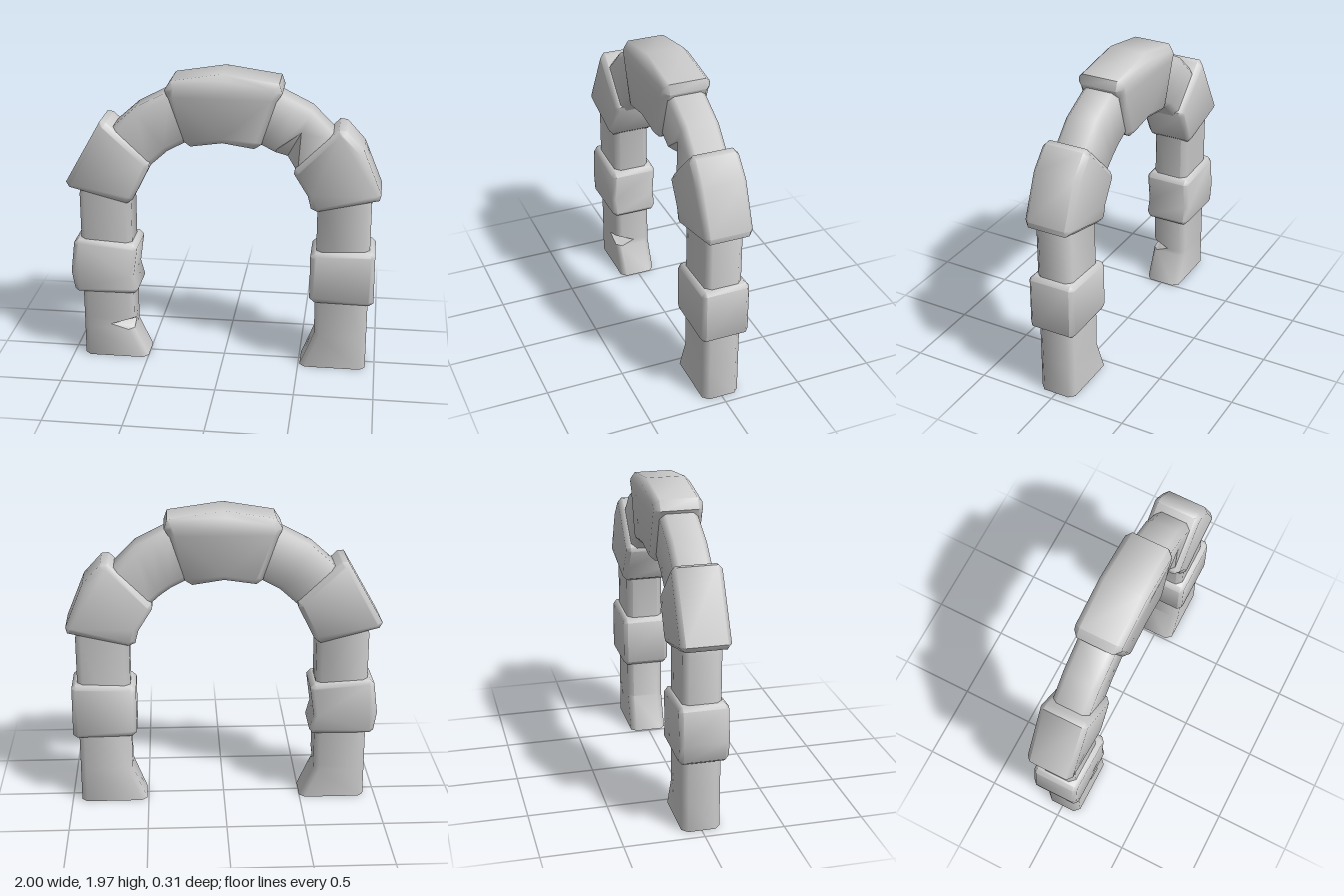
import * as THREE from 'three';
import { toCreasedNormals } from 'three/addons/utils/BufferGeometryUtils.js';

const material = new THREE.MeshStandardMaterial({ color: 0xcccccc });
const HALF = 0.12;   // half depth of the core
const CUT = 0.035;   // chamfer of the core

// Sections of the core from foot to foot: inner x, y, outer x, y, depth of a chip in the front inner edge
const SECTIONS = [
  [-0.50, 0, -0.925, 0], [-0.59, 0.2, -0.925, 0.2], [-0.59, 0.235, -0.925, 0.235, 0.15],
  [-0.59, 0.275, -0.925, 0.275], [-0.59, 1.13, -0.925, 1.14], [-0.55, 1.22, -0.88, 1.32],
  [-0.46, 1.35, -0.69, 1.6], [-0.35, 1.45, -0.55, 1.725], [-0.22, 1.52, -0.34, 1.835],
  [0, 1.55, 0, 1.9],
  [0.23, 1.52, 0.35, 1.84], [0.33, 1.47, 0.45, 1.79], [0.4, 1.42, 0.55, 1.74, 0.21],
  [0.45, 1.375, 0.69, 1.6], [0.55, 1.22, 0.89, 1.32], [0.6, 1.13, 0.94, 1.14],
  [0.6, 0.23, 0.94, 0.23], [0.51, 0, 0.94, 0],
];

// Chamfered section, starting at the inner face and going round by the front
function ring([ix, iy, ox, oy, chip]) {
  const length = Math.hypot(ox - ix, oy - iy);
  const flat = HALF - CUT;
  const profile = [
    [0, chip ? 0 : flat], [chip || CUT, HALF], [length - CUT, HALF], [length, flat],
    [length, -flat], [length - CUT, -HALF], [CUT, -HALF], [0, -flat],
  ];
  return profile.map(([u, z]) => [ix + (ox - ix) * u / length, iy + (oy - iy) * u / length, z]);
}

function coreGeometry() {
  const rings = SECTIONS.map(ring);
  const n = 8;
  const index = [];
  for (let s = 0; s < rings.length - 1; s++) {
    for (let i = 0; i < n; i++) {
      const a = s * n + i, b = s * n + (i + 1) % n;
      index.push(a, a + n, b + n, a, b + n, b);
    }
  }
  // Undersides of the feet
  const last = (rings.length - 1) * n;
  for (let i = 1; i < n - 1; i++) {
    index.push(0, i, i + 1, last, last + i + 1, last + i);
  }
  const geometry = new THREE.BufferGeometry();
  geometry.setAttribute('position', new THREE.Float32BufferAttribute(rings.flat(2), 3));
  geometry.setIndex(index);
  return toCreasedNormals(geometry, 0.85);
}

// Raised stone with chamfered front and back edges
function stoneGeometry(outline, bevel) {
  const half = 0.153;
  const shape = new THREE.Shape(outline.map(([x, y]) => new THREE.Vector2(x, y)));
  const geometry = new THREE.ExtrudeGeometry(shape, {
    depth: 2 * (half - bevel), bevelEnabled: true, bevelSegments: 1,
    bevelSize: bevel, bevelThickness: bevel, bevelOffset: -bevel,
  });
  geometry.translate(0, 0, bevel - half);
  return toCreasedNormals(geometry, 0.95);
}

// Outlines of the raised stones, seen from the front
const STONES = {
  keystone: [0.035, [
    [-0.32, 1.912], [-0.36, 1.85], [-0.335, 1.8], [-0.24, 1.525], [-0.2, 1.495], [0, 1.525],
    [0.2, 1.495], [0.245, 1.525], [0.335, 1.8], [0.37, 1.855], [0.35, 1.915], [0, 1.965]]],
  rightShoulder: [0.028, [
    [-0.77, 1.635], [-1, 1.23], [-0.98, 1.195], [-0.61, 1.1], [-0.57, 1.13],
    [-0.465, 1.34], [-0.46, 1.375], [-0.73, 1.632]]],
  leftShoulder: [0.028, [
    [0.72, 1.64], [0.455, 1.375], [0.45, 1.345], [0.54, 1.2], [0.56, 1.12], [0.6, 1.1],
    [0.985, 1.19], [0.995, 1.23], [0.88, 1.51], [0.765, 1.635]]],
  rightBand: [0.024, [
    [-0.94, 0.84], [-0.965, 0.815], [-0.99, 0.61], [-0.97, 0.49], [-0.945, 0.47],
    [-0.575, 0.472], [-0.552, 0.5], [-0.578, 0.6], [-0.552, 0.79], [-0.58, 0.82]]],
  leftBand: [0.024, [
    [0.595, 0.822], [0.565, 0.795], [0.565, 0.505], [0.6, 0.475],
    [0.95, 0.47], [0.977, 0.492], [0.975, 0.815], [0.95, 0.838]]],
};

export function createModel() {
  const model = new THREE.Group();
  model.name = 'stoneArch';
  const add = (name, geometry) => {
    const mesh = new THREE.Mesh(geometry, material);
    mesh.name = name;
    model.add(mesh);
  };
  add('archCore', coreGeometry());
  for (const [name, [bevel, outline]] of Object.entries(STONES)) {
    add(name, stoneGeometry(outline, bevel));
  }
  return model;
}
